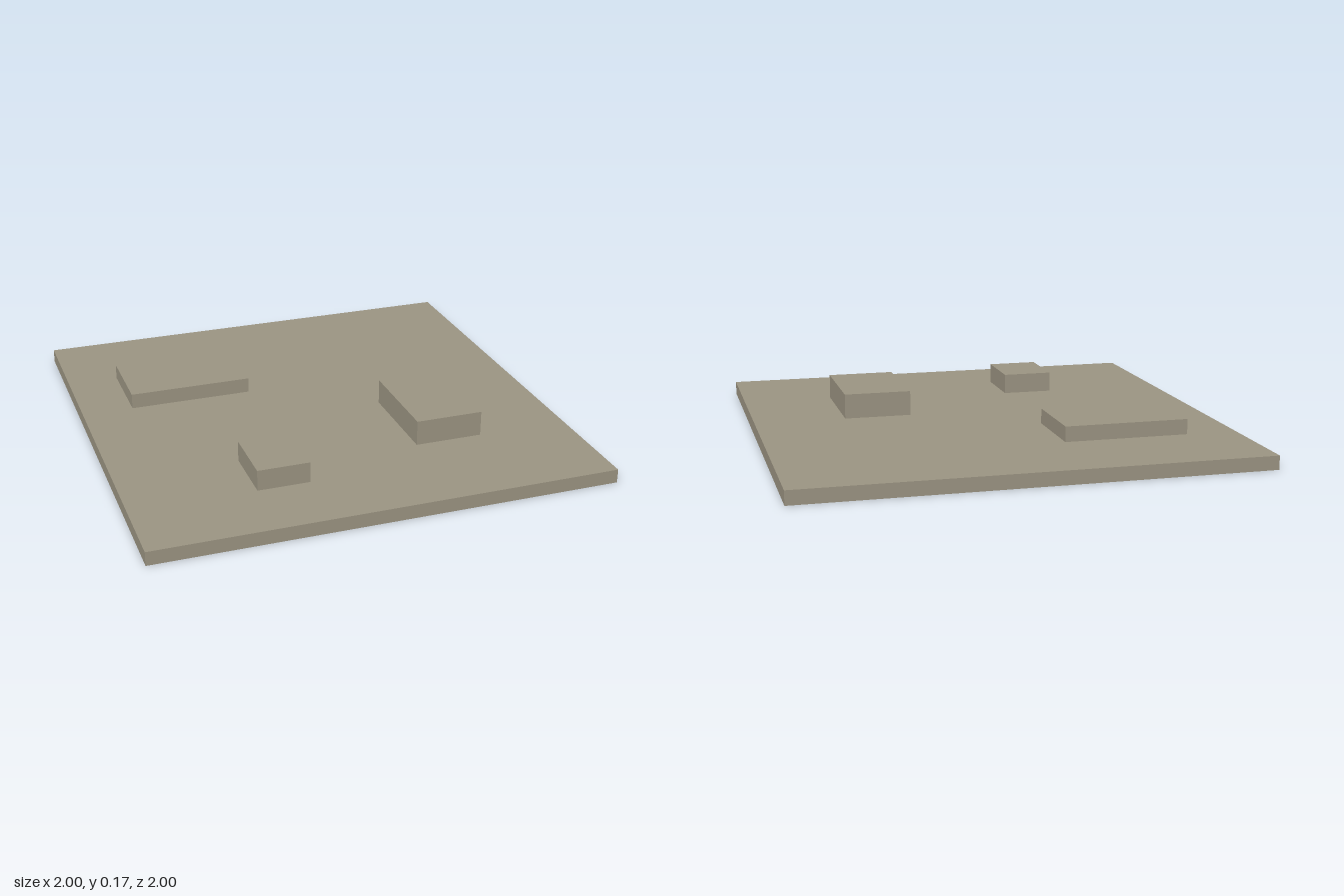
import * as THREE from 'three';

export function createModel() {
  const model = new THREE.Group();
  const stone = new THREE.MeshStandardMaterial({ color: 0x9b9482 });
  stone.name = 'stone';

  // Box given by its extents along x, y and z
  function addBlock(name, [x0, x1], [y0, y1], [z0, z1]) {
    const mesh = new THREE.Mesh(new THREE.BoxGeometry(x1 - x0, y1 - y0, z1 - z0), stone);
    mesh.position.set((x0 + x1) / 2, (y0 + y1) / 2, (z0 + z1) / 2);
    mesh.name = name;
    model.add(mesh);
  }

  // Square ground slab
  const top = 0.06;
  addBlock('baseSlab', [-1, 1], [0, top], [-1, 1]);

  // Raised blocks resting on the slab
  addBlock('wideBlock', [-0.775, -0.228], [top, 0.127], [-0.575, -0.228]);
  addBlock('smallBlock', [-0.465, -0.24], [top, 0.15], [0.412, 0.686]);
  addBlock('tallBlock', [0.298, 0.596], [top, 0.17], [0.076, 0.522]);

  return model;
}
